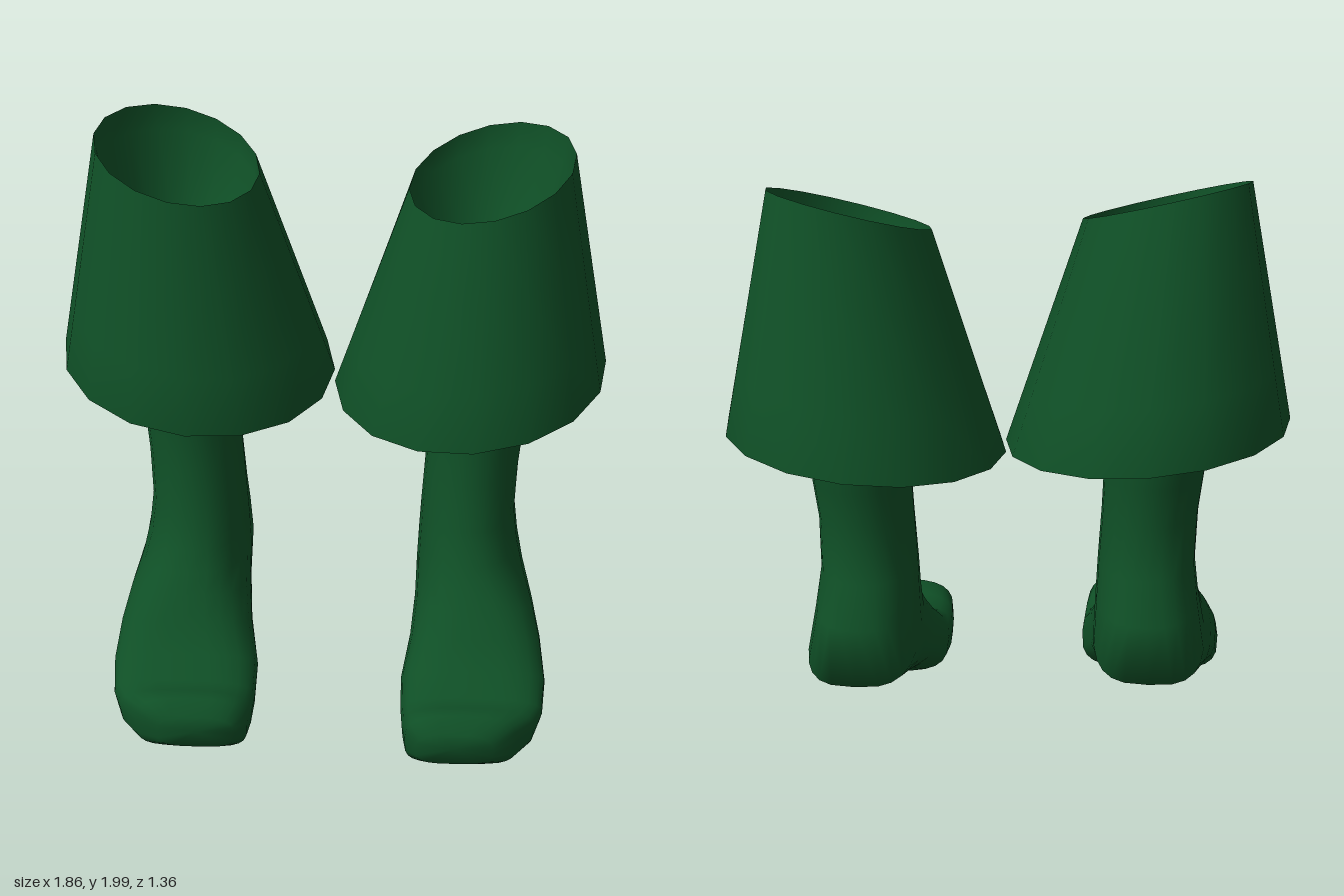
import * as THREE from 'three';

const green = new THREE.MeshStandardMaterial({ color: 0x0f4f26 });
green.name = 'dark green';

const lerp = THREE.MathUtils.lerp;

// Skin a stack of closed rings; side = -1 mirrors it across x
function loft(name, rings, side) {
  const n = rings[0].length;
  const positions = [];
  const index = [];
  for (const ring of rings) for (const [x, y, z] of ring) positions.push(x * side, y, z);
  for (let i = 0; i < rings.length - 1; i++) {
    for (let j = 0; j < n; j++) {
      const k = (j + 1) % n;
      const a = i * n + j, b = i * n + k, c = a + n, d = b + n;
      if (side > 0) index.push(a, b, c, b, d, c);
      else index.push(a, c, b, b, c, d);
    }
  }
  const geometry = new THREE.BufferGeometry();
  geometry.setAttribute('position', new THREE.Float32BufferAttribute(positions, 3));
  geometry.setIndex(index);
  geometry.computeVertexNormals();
  const mesh = new THREE.Mesh(geometry, green);
  mesh.name = name;
  return mesh;
}

// Horizontal ellipse whose height follows heightAt(x, z)
const CUFF_SIDES = 16;
function ellipse(cx, cz, rx, rz, heightAt) {
  return Array.from({ length: CUFF_SIDES }, (_, j) => {
    const t = (j / CUFF_SIDES) * Math.PI * 2 - Math.PI / 2;
    const x = cx + rx * Math.cos(t);
    const z = cz + rz * Math.sin(t);
    return [x, heightAt(x, z), z];
  });
}

const rimHeight = (x, z) => 1.865 + 0.24 * (x - 0.515) - 0.18 * (z + 0.105);
const hemHeight = (x, z) => 1.11 + 0.105 * (x - 0.465) - 0.05 * (z + 0.155);

// Ring of the flared trouser wall: t = 0 at the rim, 1 at the hem
function wall(t, inset = 0) {
  const rim = ellipse(0.51, -0.105, 0.267 - inset, 0.287 - inset, rimHeight);
  const hem = ellipse(0.465, -0.155, 0.465 - inset, 0.527 - inset, hemHeight);
  return rim.map((p, j) => p.map((v, k) => lerp(v, hem[j][k], t)));
}

function trouser(side) {
  const group = new THREE.Group();
  group.name = 'trouserLeg';
  // Outer wall, turned under at the hem and closed onto the leg inside
  group.add(loft('trouserCuff', [
    wall(0), wall(0.35), wall(0.75), wall(1), wall(0.985, 0.025), wall(0.85, 0.06),
    ellipse(0.5, -0.11, 0.17, 0.19, () => 1.41),
  ], side));
  // Funnel seen through the top opening
  group.add(loft('openingFunnel', [
    ellipse(0.485, -0.1, 0, 0, () => 1.52),
    ellipse(0.485, -0.1, 0.115, 0.15, () => 1.52),
    ellipse(0.495, -0.1, 0.18, 0.21, () => 1.6),
    wall(0.1, 0.03), wall(0),
  ], side));
  return group;
}

// Leg and foot sections: front z,y | back z,y | inner x, outer x | squareness
const SECTIONS = [
  [0.10, 1.44, -0.33, 1.44, 0.31, 0.70, 1],
  [0.09, 1.15, -0.32, 1.15, 0.33, 0.685, 1],
  [0.09, 0.95, -0.31, 0.95, 0.325, 0.66, 1],
  [0.11, 0.80, -0.29, 0.81, 0.32, 0.645, 1],
  [0.14, 0.63, -0.32, 0.63, 0.31, 0.64, 0.95],
  [0.19, 0.52, -0.40, 0.50, 0.305, 0.655, 0.9],
  [0.23, 0.455, -0.43, 0.31, 0.30, 0.68, 0.8],
  [0.275, 0.395, -0.20, 0.225, 0.295, 0.71, 0.8],
  [0.33, 0.32, 0.02, 0.145, 0.28, 0.735, 0.78],
  [0.40, 0.24, 0.22, 0.04, 0.25, 0.75, 0.75],
  [0.49, 0.195, 0.40, 0.015, 0.25, 0.735, 0.7],
  [0.56, 0.21, 0.52, 0.005, 0.255, 0.70, 0.7],
  [0.63, 0.23, 0.60, 0.005, 0.265, 0.64, 0.7],
  [0.68, 0.19, 0.67, 0.06, 0.30, 0.56, 0.75],
];

function legSection([fz, fy, bz, by, x0, x1, power], scale = 1) {
  const sides = 24;
  return Array.from({ length: sides }, (_, j) => {
    const t = (j / sides) * Math.PI * 2;
    // The sole half is squarer than the upper half
    const p = Math.sin(t) < 0 ? power * power : power;
    const shape = (v) => Math.sign(v) * Math.abs(v) ** p * scale;
    const u = shape(Math.cos(t));
    const v = (1 + shape(Math.sin(t))) / 2;
    return [(x0 + x1) / 2 + (u * (x1 - x0)) / 2, lerp(by, fy, v), lerp(bz, fz, v)];
  });
}

function leg(side) {
  const rings = SECTIONS.map((s) => legSection(s));
  // Close the top of the shin and the toe tip
  rings.unshift(legSection(SECTIONS[0], 0));
  rings.push(legSection(SECTIONS[SECTIONS.length - 1], 0));
  return loft('legAndFoot', rings, side);
}

export function createModel() {
  const model = new THREE.Group();
  model.name = 'trouserLegsWithFeet';
  for (const side of [1, -1]) {
    const half = new THREE.Group();
    half.name = side > 0 ? 'leftLeg' : 'rightLeg';
    half.add(trouser(side), leg(side));
    // The right leg is lifted slightly, in mid-stance
    if (side < 0) half.position.y = 0.045;
    model.add(half);
  }
  return model;
}
